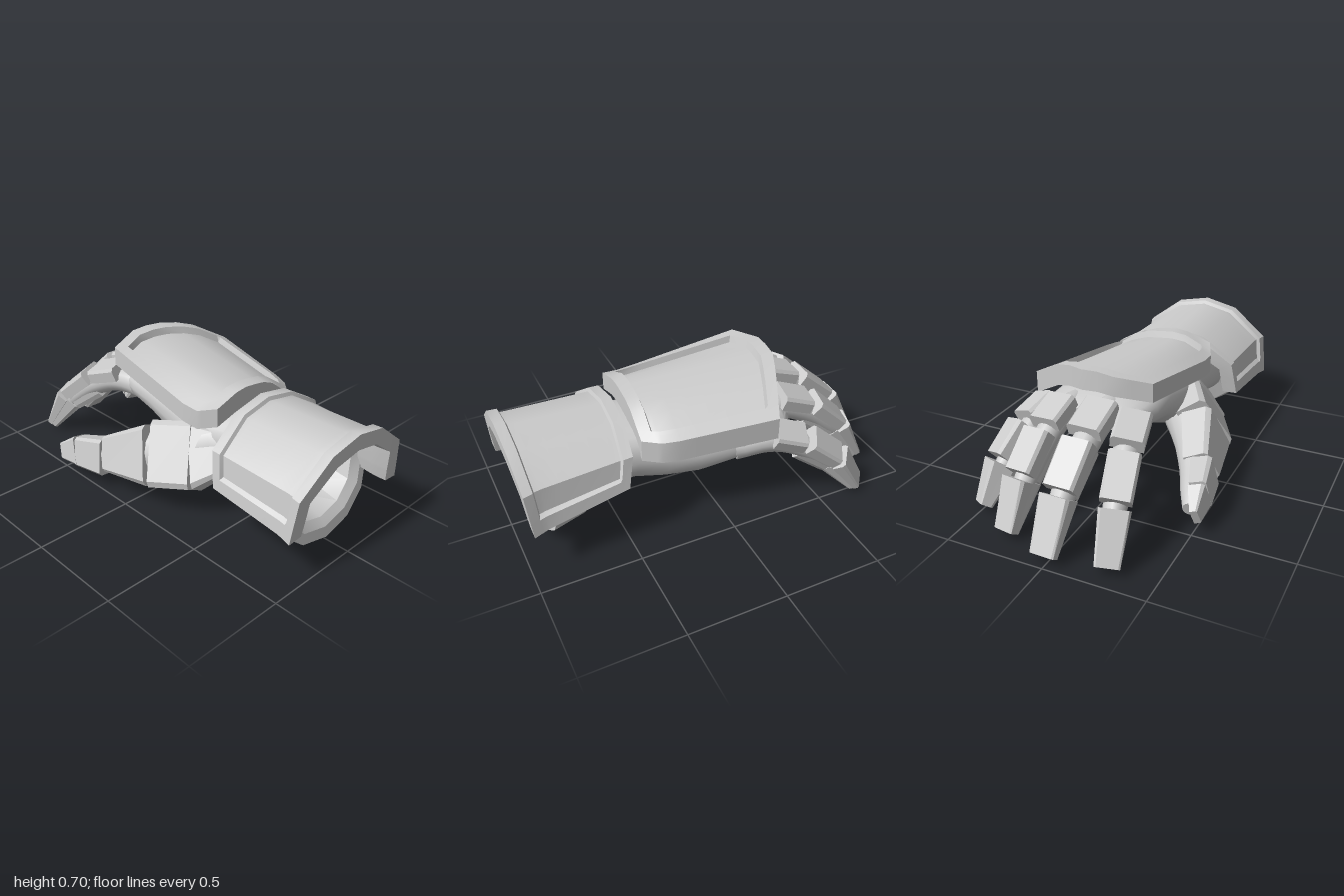
import * as THREE from 'three';
import { toCreasedNormals } from 'three/addons/utils/BufferGeometryUtils.js';

const V = (x, y, z) => new THREE.Vector3(x, y, z);
const lerp = THREE.MathUtils.lerp;
const material = new THREE.MeshStandardMaterial({ color: 0xcccccc });

// piecewise-linear lookup in [[key, value], ...]
function pw(table, k) {
  if (k <= table[0][0]) return table[0][1];
  for (let i = 1; i < table.length; i++) {
    const [a, va] = table[i - 1], [b, vb] = table[i];
    if (k <= b) return lerp(va, vb, (k - a) / (b - a));
  }
  return table[table.length - 1][1];
}

// closed skin over equal-length rings; optional strip caps, winding made outward
function loft(name, rings, crease = 0.6, caps = true) {
  const n = rings[0].length, tris = [];
  const quad = (a, b, c, d) => tris.push([a, b, c], [a, c, d]);
  for (let r = 0; r < rings.length - 1; r++)
    for (let i = 0; i < n; i++) {
      const j = (i + 1) % n;
      quad(rings[r][i], rings[r][j], rings[r + 1][j], rings[r + 1][i]);
    }
  const last = rings[rings.length - 1];
  for (let i = 0; caps && i < n / 2 - 1; i++) {
    const j = n - 1 - i;
    quad(rings[0][i], rings[0][j], rings[0][j - 1], rings[0][i + 1]);
    quad(last[i], last[i + 1], last[j - 1], last[j]);
  }
  let volume = 0;
  for (const [a, b, c] of tris) volume += a.dot(b.clone().cross(c));
  const pts = tris.flatMap(([a, b, c]) => (volume > 0 ? [a, b, c] : [a, c, b]));
  const geometry = new THREE.BufferGeometry().setFromPoints(pts);
  const mesh = new THREE.Mesh(toCreasedNormals(geometry, crease), material);
  mesh.name = name;
  return mesh;
}

// side and up axes for a direction
function frame(dir, up) {
  const side = up.clone().cross(dir).normalize();
  return { side, up: dir.clone().cross(side).normalize() };
}

// smooth tapering limb through [x, y, z, radius, drop below the path] points
function limb(name, pts, up, steps = 18, sides = 14) {
  const curve = new THREE.CatmullRomCurve3(pts.map(p => V(p[0], p[1], p[2])));
  const column = c => pts.map((p, i) => [i / (pts.length - 1), p[c]]);
  const radii = column(3), drops = column(4);
  const rings = [];
  for (let k = 0; k <= steps; k++) {
    const t = k / steps, f = frame(curve.getTangent(t).normalize(), up);
    const c = curve.getPoint(t).addScaledVector(f.up, -pw(drops, t));
    const r = pw(radii, t), ring = [];
    for (let i = 0; i < sides; i++) {
      const a = i / sides * Math.PI * 2;
      ring.push(c.clone().addScaledVector(f.side, r * Math.cos(a)).addScaledVector(f.up, r * Math.sin(a)));
    }
    rings.push(ring);
  }
  return loft(name, rings, 1);
}

// armour block from p to q: [width, height above, depth below] at each end
function block(name, p, q, up, a, b) {
  const f = frame(q.clone().sub(p).normalize(), up);
  const section = (c, [w, h, d]) =>
    [[-.5, -d], [-.5, h * .75], [-.42, h], [.42, h], [.5, h * .75], [.5, -d]].map(([x, y]) =>
      c.clone().addScaledVector(f.side, x * w).addScaledVector(f.up, y));
  return loft(name, [section(p, a), section(q, b)], 0.3);
}

// curved plate with a raised rim; surf(s, t, h) gives a point at height h
function panel(name, surf, rimS, rimT, rim, thick, div) {
  const axis = r => {
    const list = [0, r, r + 0.015, 1 - r - 0.015, 1 - r, 1];
    for (let i = 1; i < div; i++) {
      const v = i / div;
      if (v > r + 0.03 && v < 1 - r - 0.03) list.push(v);
    }
    return list.sort((a, b) => a - b);
  };
  const ts = axis(rimT);
  const edge = (v, r) => v <= r + 1e-6 || v >= 1 - r - 1e-6;
  const rings = axis(rimS).map(s => [
    ...ts.map(t => surf(s, t, edge(s, rimS) || edge(t, rimT) ? rim : 0)),
    ...ts.slice().reverse().map(t => surf(s, t, -thick)),
  ]);
  return loft(name, rings, 0.5);
}

// upright rounded ring; tilt shears x with height, roll lowers the -z side
function ovalRing([x, yc, ry, zc, rz, roll = 0], tilt, sides, power) {
  const ring = [], soft = v => Math.sign(v) * Math.abs(v) ** power;
  for (let i = 0; i < sides; i++) {
    const a = i / sides * Math.PI * 2;
    const y = yc + ry * soft(Math.sin(a)), z = zc + rz * soft(Math.cos(a));
    ring.push(V(x - tilt * y, y + roll * Math.min(z, 0), z));
  }
  return ring;
}

export function createModel() {
  const model = new THREE.Group();
  model.name = 'armouredGlove';

  // palm and hollow wrist
  const palm = [
    [-0.41, .45, .055, -.06, .23, .2], [-0.36, .45, .08, -.08, .27, .2], [-0.25, .45, .1, -.09, .31, .2],
    [-0.1, .43, .125, -.08, .31, .15], [0.1, .36, .17, -.05, .28, .05], [0.25, .335, .165, -.03, .25],
    [0.4, .35, .155, -.02, .225], [0.55, .345, .165, 0, .225], [0.72, .32, .18, 0, .235],
    [0.72, .315, .175, 0, .228], [0.6, .325, .15, 0, .2], [0.45, .335, .12, 0, .15],
    [0.36, .34, .07, 0, .09], [0.33, .34, .02, 0, .03],
  ];
  model.add(loft('palm', palm.map(p => ovalRing(p, 0, 24, 0.8)), 1));

  // flared cuff ring under the sleeve guard
  const cuff = [
    [0.69, .33, .175, 0, .225], [0.7, .33, .18, 0, .24], [0.715, .285, .235, 0, .3], [0.875, .27, .264, 0, .33],
    [0.875, .295, .235, 0, .295], [0.85, .31, .21, 0, .25], [0.69, .33, .175, 0, .225],
  ];
  model.add(loft('cuff', cuff.map(p => ovalRing(p, 0.17, 12, 1)), 0.45, false));

  // sleeve guard arching over the forearm
  const arc = [[.375, .22], [.35, .42], [.17, .56], [0, .595], [-.165, .56], [-.335, .43], [-.365, .22]];
  const arcZ = arc.map((p, i) => [i / 6, p[0]]), arcY = arc.map((p, i) => [i / 6, p[1]]);
  model.add(panel('sleeveGuard', (s, t, h) => {
    const y = pw(arcY, t), low = (0.595 - y) / 0.375;
    const flare = pw([[0, .94], [.85, .96], [1, 1]], s);
    const rise = t > 0.5 ? 0.11 : 0.06;
    const p = V(0, y + lerp(rise * low - 0.015, 0, s), pw(arcZ, t) * flare);
    const out = V(0, p.y - 0.25, p.z).normalize();
    p.addScaledVector(out, h);
    p.x = lerp(0.43 + 0.06 * low, 1 - 0.035 * low, s);
    return p;
  }, 0.09, 0.055, 0.018, 0.06, 6));

  // plate on the back of the hand
  model.add(panel('handPlate', (s, t, h) => {
    const z0 = pw([[0, .24], [.85, .29], [1, .24]], s);
    const z1 = pw([[0, -.45], [.85, -.34], [1, -.26]], s);
    const xf = pw([[0, -.36], [.25, -.42], [.5, -.405], [1, -.25]], t);
    const nearDrop = pw([[0, .035], [.85, .095], [1, .05]], s);
    const drop = pw([[0, nearDrop], [.25, .008], [.4, 0], [.7, .025], [1, .145]], t);
    const y = 0.655 - 0.055 * s - drop;
    return V(lerp(xf, 0.385, s), h < 0 ? y + h - 0.02 * t : y + h, lerp(z0, z1, t));
  }, 0.08, 0.085, 0.035, 0.06, 8));

  // fingers: [name, base x, base z, tip x, tip z, width, height scale, roll of the back]
  const heights = [[-.4, .45], [0, .485], [.32, .425], [.55, .345], [.72, .25], [1, .035]];
  const fingers = [
    ['indexFinger', -.39, .165, -.925, .28, .16, .98, .15], ['middleFinger', -.4, .005, -.97, -.01, .17, 1.04, 0],
    ['ringFinger', -.38, -.215, -.88, -.265, .16, .98, -.1], ['littleFinger', -.26, -.38, -.73, -.5, .15, .82, -.4],
  ];
  for (const [name, x0, z0, x1, z1, w, scale, roll] of fingers) {
    const finger = new THREE.Group();
    finger.name = name;
    const up = V(0, 1, roll), down = V(0, -1, -roll);
    const at = t => V(lerp(x0, x1, t), pw(heights, t) * scale, lerp(z0, z1, t));
    const radii = [.43, .41, .4, .36, .22], drops = [.02, .04, .04, .035, .015];
    finger.add(limb(name + 'Sleeve',
      [-.4, 0, .32, .68, .95].map((t, i) => [...at(t).toArray(), w * radii[i], drops[i]]), up));
    // armour on the back, slimmer pads underneath: [part, start, end, width, height, pad depth at each end]
    const parts = [
      ['knuckle', 0, .32, [1, .065, .06], [1, .06, .06]], ['middle', .38, .7, [.95, .068, .105], [.92, .058, .095]],
      ['tip', .73, 1, [.92, .062, .09], [.72, .02, .045]],
    ];
    for (const [part, a, b, [wa, ha, da], [wb, hb, db]] of parts) {
      finger.add(block(part + 'Block', at(a), at(b), up, [w * wa, ha, .01], [w * wb, hb, .01]));
      finger.add(block(part + 'Pad', at(a), at(b), down, [w * .72, da, 0], [w * .66, db, 0]));
    }
    model.add(finger);
  }

  // thumb with armour on its outer face
  const thumb = new THREE.Group();
  thumb.name = 'thumb';
  thumb.add(limb('thumbSleeve', [
    [.3, .32, .1, .13, 0], [.15, .27, .22, .135, 0], [0, .225, .32, .12, 0],
    [-.2, .165, .405, .085, 0], [-.36, .125, .455, .065, 0], [-.45, .1, .475, .04, 0],
  ], V(0, 1, 0)));
  const plates = [
    ['thumbBaseRear', .5, V(.37, .315, .17), V(.24, .275, .25), [.2, .05, .05], [.33, .075, .07]],
    ['thumbBaseFront', .5, V(.24, .275, .25), V(.06, .245, .34), [.33, .075, .07], [.33, .09, .07]],
    ['thumbMiddle', .35, V(.05, .24, .345), V(-.2, .17, .42), [.3, .095, .06], [.18, .075, .05]],
    ['thumbTipRear', .2, V(-.21, .155, .43), V(-.38, .135, .475), [.19, .075, .03], [.155, .06, .02]],
    ['thumbTipFront', .2, V(-.38, .135, .475), V(-.5, .095, .51), [.155, .06, .02], [.085, .025, .01]],
  ];
  for (const [name, lean, p, q, a, b] of plates) thumb.add(block(name, p, q, V(0, lean, 1), a, b));
  model.add(thumb);

  return model;
}
